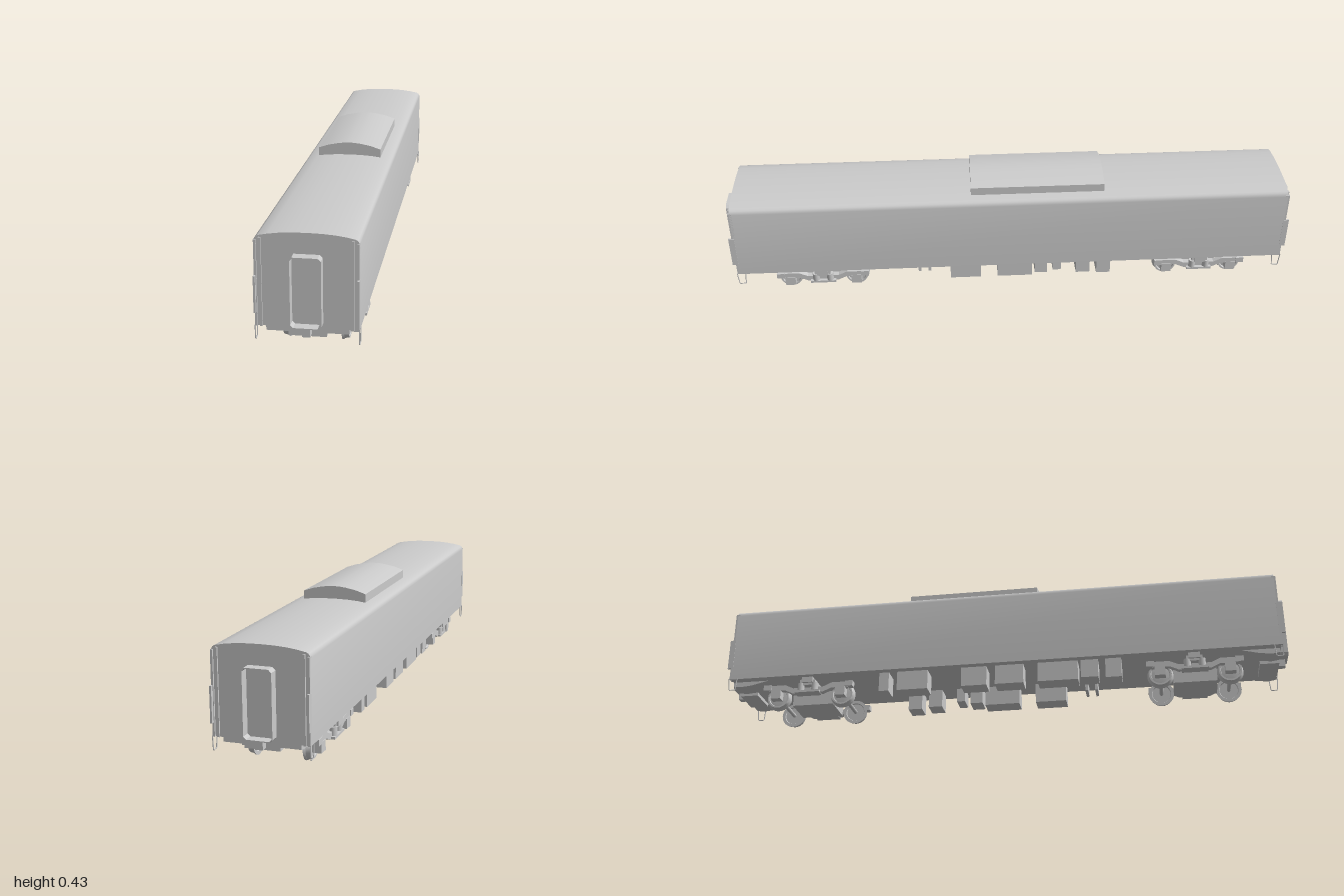
import * as THREE from 'three';
import { toCreasedNormals } from 'three/addons/utils/BufferGeometryUtils.js';

const material = new THREE.MeshStandardMaterial({ color: 0xcccccc, side: THREE.DoubleSide });

function add(parent, name, geometry) {
  const mesh = new THREE.Mesh(geometry, material);
  mesh.name = name;
  parent.add(mesh);
  return mesh;
}

// Box given by its limits on each axis
function box(parent, name, x0, x1, y0, y1, z0, z1) {
  const mesh = add(parent, name, new THREE.BoxGeometry(Math.abs(x1 - x0), Math.abs(y1 - y0), Math.abs(z1 - z0)));
  mesh.position.set((x0 + x1) / 2, (y0 + y1) / 2, (z0 + z1) / 2);
  return mesh;
}

// Symmetric section from its right half (bottom to top), extruded along z
function section(half, z0, z1) {
  const left = half.filter(p => p[0] > 0).map(([x, y]) => [-x, y]).reverse();
  const shape = new THREE.Shape([...half, ...left].map(p => new THREE.Vector2(...p)));
  const geometry = new THREE.ExtrudeGeometry(shape, { depth: z1 - z0, bevelEnabled: false });
  geometry.translate(0, 0, z0);
  return toCreasedNormals(geometry, 0.6);
}

// Side profile of [z, y] points, extruded across x
function sideProfile(points, x0, x1) {
  const shape = new THREE.Shape(points.map(([z, y]) => new THREE.Vector2(-z, y)));
  const geometry = new THREE.ExtrudeGeometry(shape, { depth: x1 - x0, bevelEnabled: false });
  geometry.rotateY(Math.PI / 2);
  geometry.translate(x0, 0, 0);
  return geometry;
}

function chamferedRect(Path, w, y0, y1, c) {
  return new Path([
    [w - c, y0], [w, y0 + c], [w, y1 - c], [w - c, y1],
    [-w + c, y1], [-w, y1 - c], [-w, y0 + c], [-w + c, y0],
  ].map(p => new THREE.Vector2(...p)));
}

// Everything attached to one end of the car, facing +z
function createEnd() {
  const end = new THREE.Group();

  const rim = chamferedRect(THREE.Shape, 0.046, 0.113, 0.327, 0.009);
  rim.holes.push(chamferedRect(THREE.Path, 0.043, 0.116, 0.324, 0.008));
  const gangway = add(end, 'gangwayFrame', new THREE.ExtrudeGeometry(rim, { depth: 0.036, bevelEnabled: false }));
  gangway.position.z = 0.964;

  add(end, 'endSill', sideProfile([[0.965, 0.107], [0.965, 0.09], [0.94, 0.086], [0.9, 0.09], [0.83, 0.107]], -0.12, 0.12));
  box(end, 'couplerMount', -0.055, 0.055, 0.078, 0.107, 0.9, 0.965);
  box(end, 'coupler', -0.012, 0.012, 0.085, 0.11, 0.95, 0.99);

  for (const s of [1, -1]) {
    box(end, 'cornerPost', s * 0.143, s * 0.15, 0.105, 0.365, 0.96, 0.974);
    box(end, 'cornerStrip', s * 0.129, s * 0.136, 0.105, 0.372, 0.96, 0.974);
    box(end, 'cornerPlate', s * 0.145, s * 0.151, 0.148, 0.26, 0.965, 0.985);
    // Stirrup step below the corner
    const path = new THREE.CurvePath();
    const pts = [[0.15, 0.108, 0.975], [0.15, 0.063, 0.971], [0.15, 0.063, 0.949], [0.15, 0.108, 0.945]]
      .map(([x, y, z]) => new THREE.Vector3(s * x, y, z));
    for (let i = 0; i < 3; i++) path.add(new THREE.LineCurve3(pts[i], pts[i + 1]));
    add(end, 'stirrupStep', new THREE.TubeGeometry(path, 24, 0.0018, 5));
  }
  return end;
}

// Lathe outline of a wheel: [radius, distance from inner face]
const wheelGeometry = toCreasedNormals(new THREE.LatheGeometry([
  [0, 0.004], [0.032, 0.004], [0.034, 0], [0.045, 0], [0.044, 0.004], [0.041, 0.007],
  [0.039, 0.021], [0.033, 0.021], [0.031, 0.015], [0.012, 0.017], [0, 0.017],
].map(p => new THREE.Vector2(...p)), 24), 0.6);

// Two-axle bogie centred on z = 0
function createBogie() {
  const bogie = new THREE.Group();
  bogie.name = 'bogie';
  box(bogie, 'transom', -0.06, 0.06, 0.026, 0.075, -0.075, 0.075);
  box(bogie, 'bolster', -0.135, 0.135, 0.072, 0.092, -0.028, 0.028);
  const pivot = add(bogie, 'pivot', new THREE.CylinderGeometry(0.04, 0.04, 0.03, 16));
  pivot.position.y = 0.095;

  for (const z of [0.118, -0.118]) {
    const axle = add(bogie, 'axle', new THREE.CylinderGeometry(0.007, 0.007, 0.19, 12));
    axle.rotation.z = Math.PI / 2;
    axle.position.set(0, 0.046, z);
  }
  for (const s of [1, -1]) {
    for (const z of [0.118, -0.118]) {
      const wheel = add(bogie, 'wheel', wheelGeometry);
      wheel.rotation.z = -s * Math.PI / 2;
      wheel.position.set(s * 0.078, 0.045, z);
      box(bogie, 'axleBox', s * 0.098, s * 0.128, 0.03, 0.064, z - 0.018, z + 0.018);
      box(bogie, 'frameTip', s * 0.105, s * 0.13, 0.062, 0.082, z + Math.sign(z) * 0.018, z + Math.sign(z) * 0.046);
    }
    // Side frame dropped between the axles
    const x0 = s > 0 ? 0.106 : -0.126;
    add(bogie, 'sideFrame', sideProfile([
      [-0.145, 0.06], [-0.085, 0.06], [-0.055, 0.046], [0.055, 0.046], [0.085, 0.06], [0.145, 0.06],
      [0.145, 0.08], [0.085, 0.08], [0.055, 0.066], [-0.055, 0.066], [-0.085, 0.08], [-0.145, 0.08],
    ], x0, x0 + 0.02));
    box(bogie, 'springPlank', s * 0.1, s * 0.138, 0.044, 0.052, -0.045, 0.045);
    for (const z of [0.025, -0.025]) {
      const spring = add(bogie, 'spring', new THREE.CylinderGeometry(0.012, 0.012, 0.03, 12));
      spring.position.set(s * 0.127, 0.065, z);
    }
    box(bogie, 'bolsterEnd', s * 0.115, s * 0.142, 0.08, 0.1, -0.02, 0.02);
  }
  return bogie;
}

export function createModel() {
  const car = new THREE.Group();
  car.name = 'railCar';

  add(car, 'body', section([
    [0.15, 0.105], [0.15, 0.36], [0.1485, 0.367], [0.145, 0.373], [0.138, 0.377],
    [0.11, 0.3825], [0.08, 0.3865], [0.045, 0.389], [0, 0.39],
  ], -0.968, 0.968));
  add(car, 'roofUnit', section([
    [0.108, 0.37], [0.108, 0.411], [0.075, 0.422], [0.04, 0.429], [0.015, 0.432], [0, 0.432],
  ], -0.325, 0.14));

  const front = createEnd();
  front.name = 'frontEnd';
  const rear = createEnd();
  rear.name = 'rearEnd';
  rear.rotation.y = Math.PI;
  car.add(front, rear);

  for (const z of [0.678, -0.685]) {
    const bogie = createBogie();
    bogie.position.z = z;
    car.add(bogie);
  }

  // Underfloor equipment: [rear z, front z, bottom y] on each side
  const leftBoxes = [
    [0.325, 0.335, 0.07], [0.29, 0.3, 0.07], [0.11, 0.22, 0.035], [-0.075, 0.05, 0.035],
    [-0.13, -0.085, 0.045], [-0.18, -0.15, 0.055], [-0.285, -0.235, 0.04], [-0.36, -0.31, 0.035],
  ];
  const rightBoxes = [
    [0.375, 0.43, 0.035], [0.29, 0.35, 0.04], [0.14, 0.28, 0.035], [-0.01, 0.09, 0.035],
    [-0.13, -0.04, 0.035], [-0.36, -0.25, 0.035], [-0.425, -0.39, 0.035],
  ];
  for (const [s, list] of [[1, leftBoxes], [-1, rightBoxes]])
    for (const [z0, z1, y] of list) box(car, 'underfloorBox', s * 0.06, s * 0.125, y, 0.108, z0, z1);

  return car;
}
